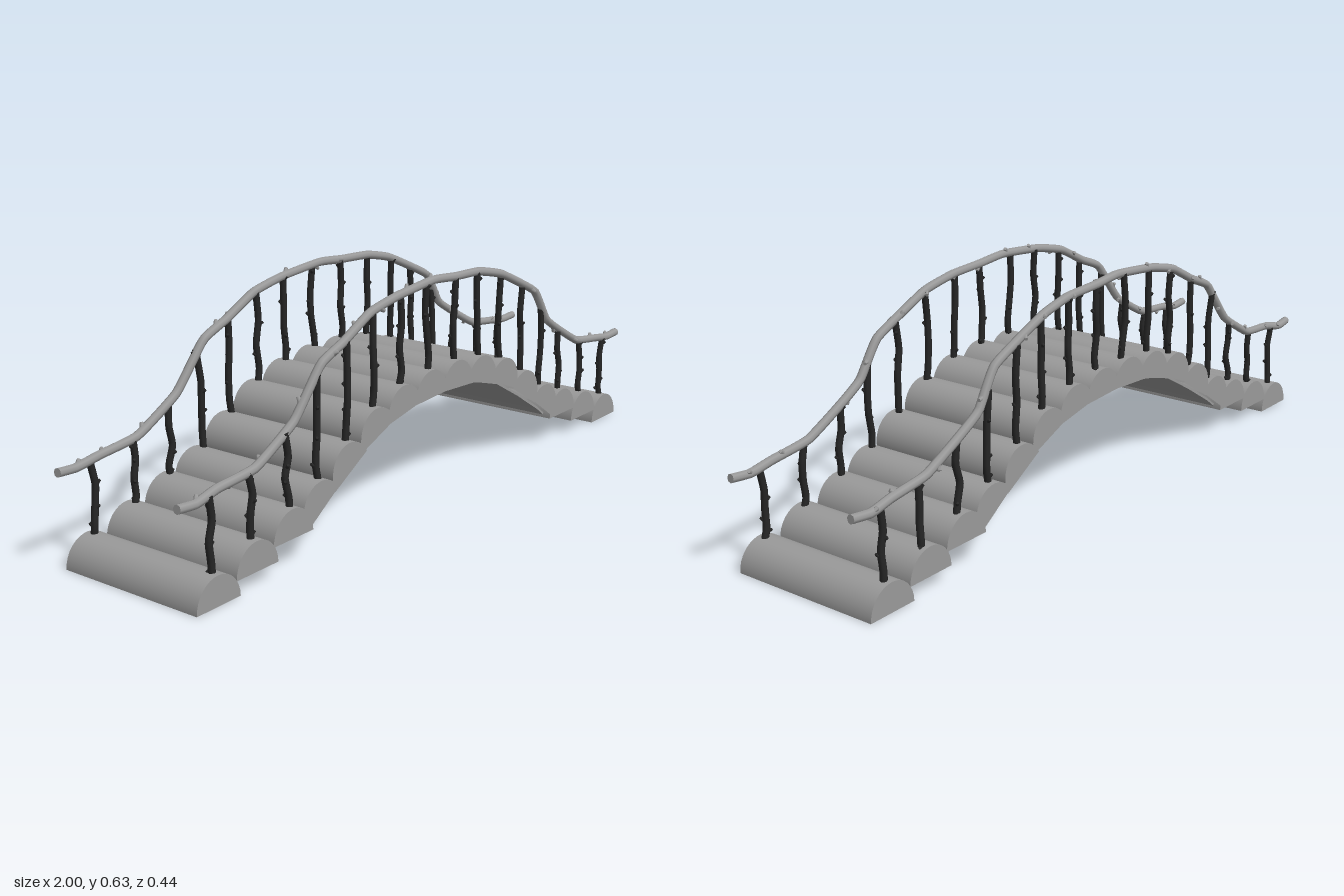
import * as THREE from 'three';

const wood = new THREE.MeshStandardMaterial({ color: 0x9a9a9a, side: THREE.DoubleSide });
const bark = new THREE.MeshStandardMaterial({ color: 0x262626 });

// One half of the bridge: [x, base height, tilt in degrees]
const steps = [
  [0.062, 0.297, 3], [0.182, 0.284, 11], [0.297, 0.251, 22], [0.41, 0.189, 30],
  [0.523, 0.121, 34], [0.635, 0.08, 0], [0.766, 0.04, 0], [0.9, 0, 0],
];
const LOG_RADIUS = 0.073, LOG_HEIGHT = 0.077, WIDTH = 0.438, RAIL_Z = 0.197;

// Handrail line from one end to the other
const railLine = [
  [-1, 0.262], [-0.94, 0.257], [-0.87, 0.272], [-0.74, 0.285], [-0.6, 0.362], [-0.5, 0.483],
  [-0.41, 0.52], [-0.3, 0.573], [-0.19, 0.597], [-0.03, 0.611], [0.07, 0.603], [0.19, 0.597],
  [0.3, 0.572], [0.49, 0.488], [0.56, 0.39], [0.64, 0.342], [0.75, 0.285], [0.87, 0.268],
  [0.94, 0.257], [1, 0.262],
];

let seed = 7;
function jitter(amount) {
  seed = (seed * 16807) % 2147483647;
  return (seed / 2147483647 * 2 - 1) * amount;
}

function add(parent, name, geometry, material) {
  const mesh = new THREE.Mesh(geometry, material);
  mesh.name = name;
  parent.add(mesh);
  return mesh;
}

function railHeight(x) {
  let i = 1;
  while (i < railLine.length - 1 && railLine[i][0] < x) i++;
  const [x0, y0] = railLine[i - 1], [x1, y1] = railLine[i];
  return y0 + (y1 - y0) * (x - x0) / (x1 - x0);
}

// Crooked branch: a capped tube along the points with a few cut twig stubs
function branch(name, points, radius, segments, stubs, material) {
  const group = new THREE.Group();
  group.name = name;
  const curve = new THREE.CatmullRomCurve3(points, false, 'catmullrom', 0.2);
  add(group, 'stem', new THREE.TubeGeometry(curve, segments, radius, 8), material);
  for (const t of [0, 1]) {
    const cap = add(group, 'cutEnd', new THREE.CircleGeometry(radius, 8), material);
    cap.position.copy(curve.getPointAt(t));
    cap.lookAt(cap.position.clone().addScaledVector(curve.getTangentAt(t), t ? 1 : -1));
  }
  for (let i = 0; i < stubs; i++) {
    const t = (i + 0.5 + jitter(0.3)) / stubs;
    const along = curve.getTangentAt(t);
    const out = new THREE.Vector3(jitter(1), jitter(1), jitter(1)).cross(along).normalize();
    out.addScaledVector(along, 0.8).normalize();
    const length = radius * 1.8;
    const stub = add(group, 'twigStub',
      new THREE.CylinderGeometry(radius * 0.4, radius * 0.75, length, 6), material);
    stub.position.copy(curve.getPointAt(t)).addScaledVector(out, length / 2);
    stub.quaternion.setFromUnitVectors(new THREE.Vector3(0, 1, 0), out);
  }
  return group;
}

export function createModel() {
  const model = new THREE.Group();
  model.name = 'logFootbridge';

  // Half-log treads, hollow underneath
  const logShape = new THREE.CylinderGeometry(
    LOG_RADIUS, LOG_RADIUS, WIDTH, 16, 1, false, -Math.PI / 2, Math.PI);
  logShape.rotateX(-Math.PI / 2);
  logShape.scale(1, LOG_HEIGHT / LOG_RADIUS, 1);
  for (const side of [-1, 1]) {
    for (const [x, y, tilt] of steps) {
      const log = add(model, 'halfLogTread', logShape, wood);
      log.position.set(side * x, y, 0);
      log.rotation.z = -side * THREE.MathUtils.degToRad(tilt);
    }
  }

  // Thin arched plate under the middle treads
  const half = [[0.578, 0.081], ...steps.slice(0, 5).reverse()];
  const arch = [...half.map(([x, y]) => [-x, y]), ...[...half].reverse().map(([x, y]) => [x, y])];
  const section = [
    ...arch.map(([x, y]) => new THREE.Vector2(x, y + 0.004)),
    ...[...arch].reverse().map(([x, y]) => new THREE.Vector2(x, y - 0.004)),
  ];
  const plateDepth = 0.39;
  const plate = new THREE.ExtrudeGeometry(new THREE.Shape(section),
    { depth: plateDepth, bevelEnabled: false });
  plate.translate(0, 0, -plateDepth / 2);
  add(model, 'archPlate', plate, wood);

  // Handrails and their posts on both sides
  for (const side of [-1, 1]) {
    const z = side * RAIL_Z;
    const line = railLine.map(([x, y], i) => {
      const end = i === 0 || i === railLine.length - 1;
      return new THREE.Vector3(x, y, z + (end ? 0 : jitter(0.004)));
    });
    model.add(branch('handrail', line, 0.012, 120, 20, wood));

    for (const mirror of [-1, 1]) {
      for (const [x, y] of steps) {
        const px = mirror * x + 0.005;
        const bottom = y + LOG_HEIGHT - 0.02;
        const top = railHeight(px);
        const points = [0, 0.2, 0.45, 0.7, 1].map((t) => new THREE.Vector3(
          px + jitter(0.008), bottom + (top - bottom) * t, z + jitter(0.003)));
        model.add(branch('railPost', points, 0.0092, 16, 4, bark));
      }
    }
  }
  return model;
}
